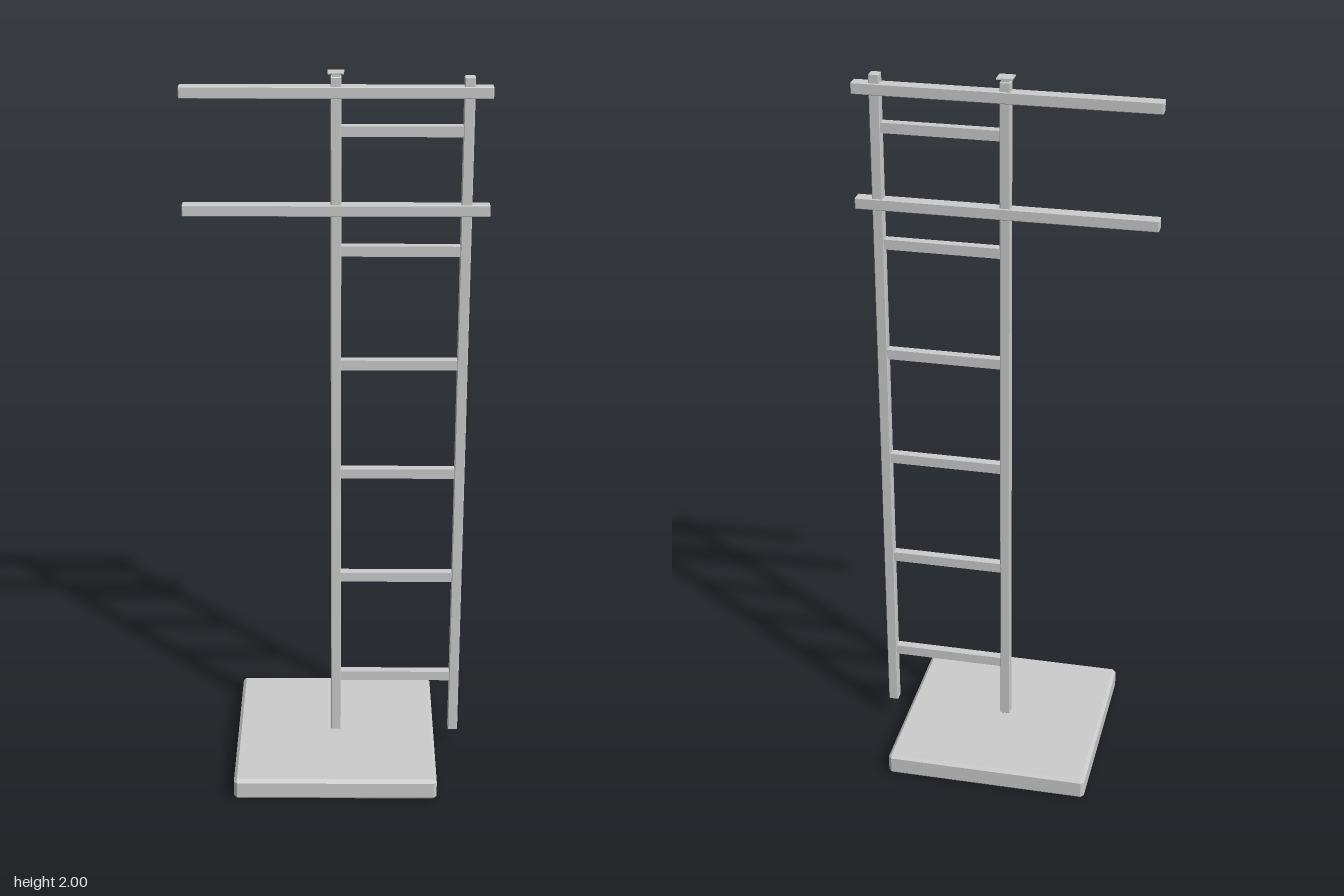
import * as THREE from 'three';
import { ConvexGeometry } from 'three/addons/geometries/ConvexGeometry.js';

const material = new THREE.MeshStandardMaterial({ color: 0xcccccc, flatShading: true });

// Box with all edges chamfered by c
function chamferBox(w, h, d, c) {
  const points = [];
  for (const sx of [-1, 1]) for (const sy of [-1, 1]) for (const sz of [-1, 1]) {
    const x = w / 2, y = h / 2, z = d / 2;
    points.push(
      new THREE.Vector3(sx * x, sy * (y - c), sz * (z - c)),
      new THREE.Vector3(sx * (x - c), sy * y, sz * (z - c)),
      new THREE.Vector3(sx * (x - c), sy * (y - c), sz * z)
    );
  }
  return new ConvexGeometry(points);
}

export function createModel() {
  const group = new THREE.Group();
  const add = (name, geometry, x, y) => {
    const mesh = new THREE.Mesh(geometry, material);
    mesh.name = name;
    mesh.position.set(x, y, 0);
    group.add(mesh);
  };

  const bar = 0.028, postX = 0.341, postBottom = 0.063, postTop = 1.988;

  // Square foot plate
  add('base', chamferBox(0.57, 0.063, 0.57, 0.009), 0, 0.0315);

  // Central post on the base, side post hanging beside it
  const post = chamferBox(bar, postTop - postBottom, bar, 0.002);
  const postY = (postTop + postBottom) / 2;
  add('centralPost', post, 0, postY);
  add('sidePost', post, postX, postY);

  // Evenly spaced rungs between the posts
  const rung = new THREE.BoxGeometry(postX - bar + 0.004, bar, bar - 0.003);
  for (let i = 0; i < 6; i++) add('rung' + (i + 1), rung, postX / 2, 0.242 + i * 0.321);

  // Long crossbars reaching past both posts
  const crossbar = chamferBox(0.804, 0.031, 0.034, 0.002);
  add('lowerCrossbar', crossbar, 0, 1.637);
  add('upperCrossbar', crossbar, 0, 1.948);

  // Short neck and thin cap on the central post
  add('capNeck', new THREE.BoxGeometry(0.02, 0.012, 0.02), 0, 1.991);
  add('cap', new THREE.BoxGeometry(0.042, 0.004, 0.042), 0, 1.998);

  return group;
}
